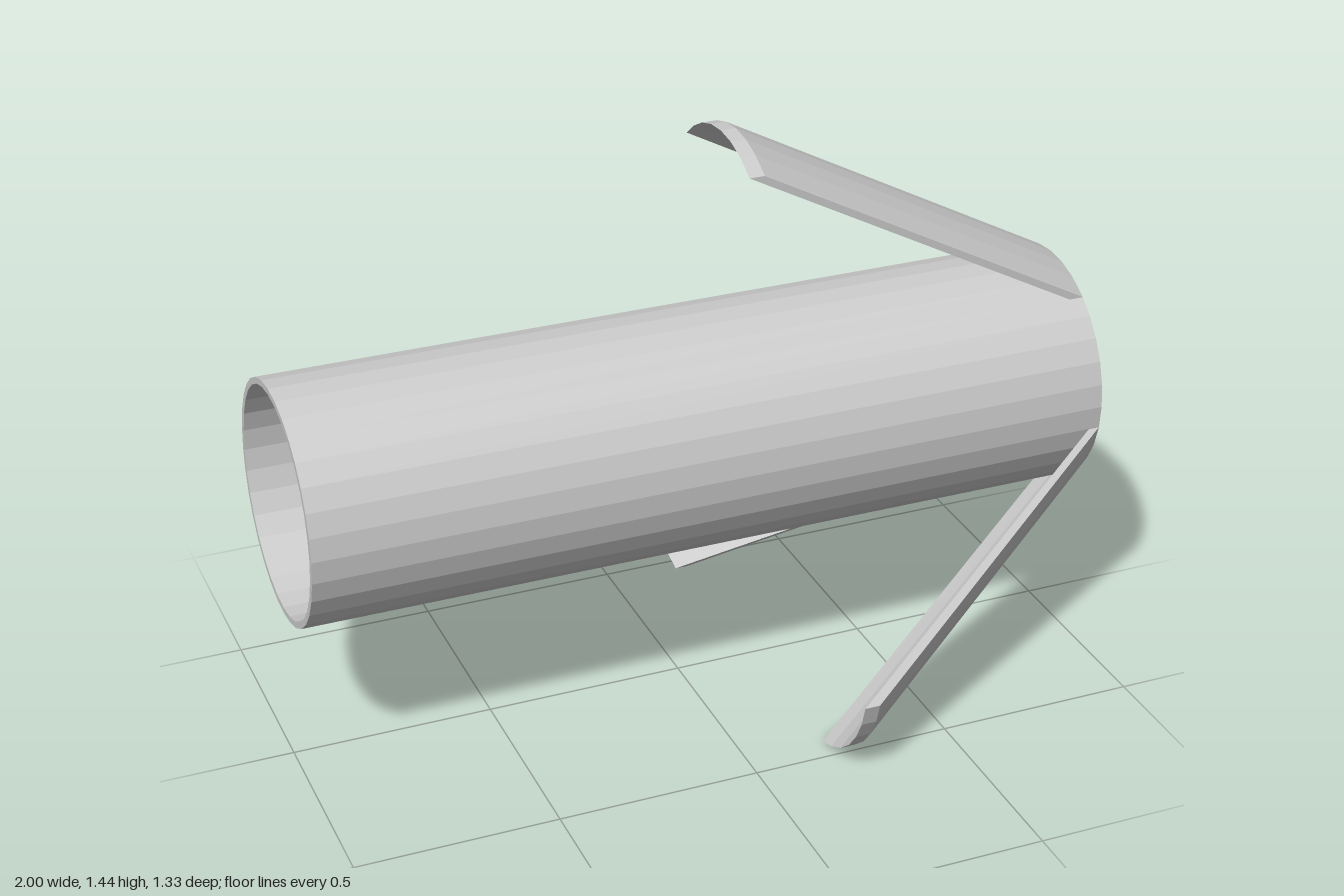
import * as THREE from 'three';

const SIDES = 32, OUTER = 0.296, INNER = 0.28, AXIS_Y = 0.695;
const material = new THREE.MeshStandardMaterial({ color: 0xcccccc, flatShading: true });

// Hollow pipe along x: closed wall profile lathed, then laid on its side
function makeTube() {
  const profile = [[INNER, -1], [OUTER, -1], [OUTER, 1], [INNER, 1], [INNER, -1]]
    .map(([r, h]) => new THREE.Vector2(r, h));
  const geometry = new THREE.LatheGeometry(profile, SIDES);
  geometry.rotateZ(-Math.PI / 2);
  const mesh = new THREE.Mesh(geometry, material);
  mesh.name = 'tube';
  mesh.position.y = AXIS_Y;
  return mesh;
}

// Curved blade: a slice of the pipe wall, slid outwards as it runs back from the end.
// Angles are in degrees from +z towards +y; slide is the [z, y] travel of the tip.
function makeFin({ name, from, to, slide, tipOuter, tipInner }) {
  const step = 360 / SIDES;
  const angles = [from];
  for (let a = Math.ceil(from / step) * step; a < to; a += step) if (a > from) angles.push(a);
  angles.push(to);

  const travel = new THREE.Vector2(...slide);
  const out = travel.clone().normalize();
  const across = new THREE.Vector2(-out.y, out.x);

  // Each section: base inner, base outer, tip outer, tip inner
  const sections = angles.map((deg) => {
    const a = THREE.MathUtils.degToRad(deg);
    const p = new THREE.Vector2(Math.cos(a), Math.sin(a)).multiplyScalar(OUTER);
    const q = p.dot(across);
    const inner = across.clone().multiplyScalar(q)
      .addScaledVector(out, Math.sqrt(INNER * INNER - q * q));
    const tip = p.clone().add(travel);
    return [[1, inner.y, inner.x], [1, p.y, p.x], [tipOuter, tip.y, tip.x], [tipInner, tip.y, tip.x]];
  });

  const points = [];
  const quad = (a, b, c, d) => points.push(...a, ...b, ...c, ...a, ...c, ...d);
  for (let i = 0; i < sections.length - 1; i++) {
    const s = sections[i], n = sections[i + 1];
    for (let j = 0; j < 4; j++) {
      const k = (j + 1) % 4;
      quad(s[j], n[j], n[k], s[k]);
    }
  }
  // Long side edges
  quad(...sections[0]);
  quad(...sections[sections.length - 1].slice().reverse());

  const geometry = new THREE.BufferGeometry();
  geometry.setAttribute('position', new THREE.Float32BufferAttribute(points, 3));
  geometry.computeVertexNormals();
  const mesh = new THREE.Mesh(geometry, material);
  mesh.name = name;
  mesh.position.y = AXIS_Y;
  return mesh;
}

export function createModel() {
  const group = new THREE.Group();
  group.name = 'finnedTube';
  group.add(makeTube());

  const fins = [
    { name: 'topFin', from: 55, to: 134, slide: [0, 0.457], tipOuter: 0.145, tipInner: 0.107 },
    { name: 'frontLowerFin', from: -77.5, to: -11.5, slide: [0.372, -0.401], tipOuter: 0.24, tipInner: 0.202 },
    { name: 'backLowerFin', from: 191.5, to: 259, slide: [-0.376, -0.382], tipOuter: 0.205, tipInner: 0.17 },
  ];
  for (const fin of fins) group.add(makeFin(fin));
  return group;
}
